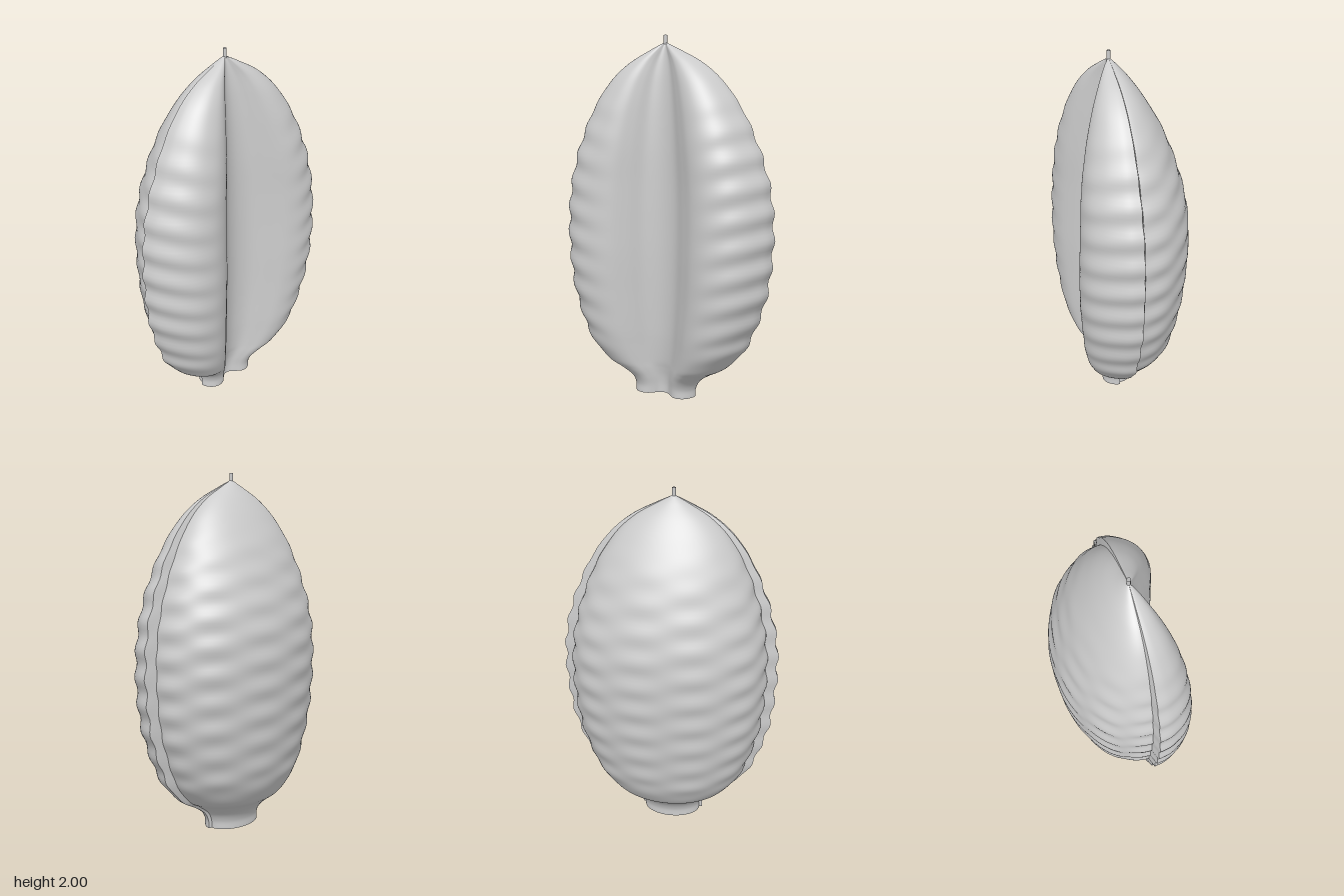
import * as THREE from 'three';

const TOP = 1.96, AXIS_Z = 0.073, ROWS = 150;

// Height, half width, front depth, back depth
const PROFILE = [
  [0, 0.185, 0.083, 0.122], [0.05, 0.187, 0.085, 0.125], [0.1, 0.215, 0.105, 0.15],
  [0.15, 0.285, 0.14, 0.2], [0.2, 0.37, 0.175, 0.26], [0.3, 0.46, 0.213, 0.315],
  [0.4, 0.51, 0.235, 0.345], [0.6, 0.575, 0.258, 0.38], [0.8, 0.602, 0.268, 0.4],
  [1.0, 0.608, 0.264, 0.407], [1.2, 0.587, 0.252, 0.392], [1.4, 0.53, 0.232, 0.342],
  [1.6, 0.44, 0.19, 0.265], [1.75, 0.335, 0.14, 0.18], [1.85, 0.22, 0.09, 0.11],
  [1.92, 0.09, 0.042, 0.048], [TOP, 0.006, 0.006, 0.006],
];
const spline = (pts) => new THREE.CatmullRomCurve3(pts, false, 'catmullrom', 0.5);
const frontProfile = spline(PROFILE.map(([y, w, f]) => new THREE.Vector3(w, y, f)));
const backProfile = spline(PROFILE.map(([y, w, , b]) => new THREE.Vector3(w, y, b)));

// Two lobes with a valley between them, as fractions of half width and depth
const frontSection = new THREE.SplineCurve([
  [1, 0], [0.975, 0.3], [0.87, 0.68], [0.73, 0.92], [0.56, 1], [0.41, 0.9], [0.28, 0.66],
  [0.16, 0.41], [0.05, 0.31], [-0.06, 0.31], [-0.17, 0.41], [-0.29, 0.66], [-0.42, 0.87],
  [-0.57, 0.95], [-0.74, 0.88], [-0.88, 0.65], [-0.975, 0.3], [-1, 0],
].map(([x, z]) => new THREE.Vector2(x, z)));

// Ripples die out towards the neck and the tip
const fade = (y) => THREE.MathUtils.smoothstep(y, 0.12, 0.4) * (1 - THREE.MathUtils.smoothstep(y, 1.4, 1.8));
const centreX = (y) => -0.02 + 0.02 * Math.sin(Math.PI * y / TOP);

function frontPoint(s, t) {
  const p = frontProfile.getPoint(t);
  const c = frontSection.getPoint(s);
  const lobe = THREE.MathUtils.smoothstep(Math.abs(c.x), 0.3, 0.75);
  const k = 1 + 0.014 * fade(p.y) * lobe * Math.sin(p.y * 42 - Math.abs(c.x) * 6);
  return [centreX(p.y) + c.x * p.x * k, p.y, AXIS_Z + c.y * p.z * k];
}

function backPoint(s, t) {
  const p = backProfile.getPoint(t);
  const a = Math.PI * s;
  const quilt = Math.sin(p.y * 42 + a * 5) + 0.6 * Math.sin(p.y * 42 - a * 6 + 1);
  const k = 1 + 0.009 * fade(p.y) * quilt;
  return [
    centreX(p.y) - Math.cos(a) * p.x * 0.905 * k,
    p.y,
    AXIS_Z - 0.1 * p.z * 0.5 - Math.sin(a) * p.z * 0.95 * k,
  ];
}

// Surface from a point rule: s runs around, t runs up
function surface(name, rule, columns, material) {
  const position = [], index = [];
  for (let j = 0; j <= ROWS; j++) {
    for (let i = 0; i <= columns; i++) {
      position.push(...rule(i / columns, j / ROWS));
      if (i === columns || j === ROWS) continue;
      const a = j * (columns + 1) + i, up = a + columns + 1;
      index.push(a, up, a + 1, a + 1, up, up + 1);
    }
  }
  const geometry = new THREE.BufferGeometry();
  geometry.setAttribute('position', new THREE.Float32BufferAttribute(position, 3));
  geometry.setIndex(index);
  geometry.computeVertexNormals();
  const mesh = new THREE.Mesh(geometry, material);
  mesh.name = name;
  return mesh;
}

// Narrow step joining the edges of the two shells
const ledge = (side) => (s, t) => {
  const front = frontPoint(side < 0 ? 1 : 0, t);
  const back = backPoint(side < 0 ? 0 : 1, t);
  const mix = side < 0 ? s : 1 - s;
  return front.map((v, n) => v + (back[n] - v) * mix);
};

export function createModel() {
  const group = new THREE.Group();
  group.name = 'ribbedPod';
  const material = new THREE.MeshStandardMaterial({ color: 0xcccccc, side: THREE.DoubleSide });

  group.add(surface('frontLobes', frontPoint, 100, material));
  group.add(surface('backShell', backPoint, 100, material));
  group.add(surface('leftSeam', ledge(1), 1, material));
  group.add(surface('rightSeam', ledge(-1), 1, material));

  // Small hollow stem at the tip
  const stem = new THREE.Mesh(new THREE.CylinderGeometry(0.01, 0.01, 0.05, 12, 1, true), material);
  stem.name = 'stem';
  stem.position.set(-0.02, 1.975, AXIS_Z);
  group.add(stem);
  return group;
}
